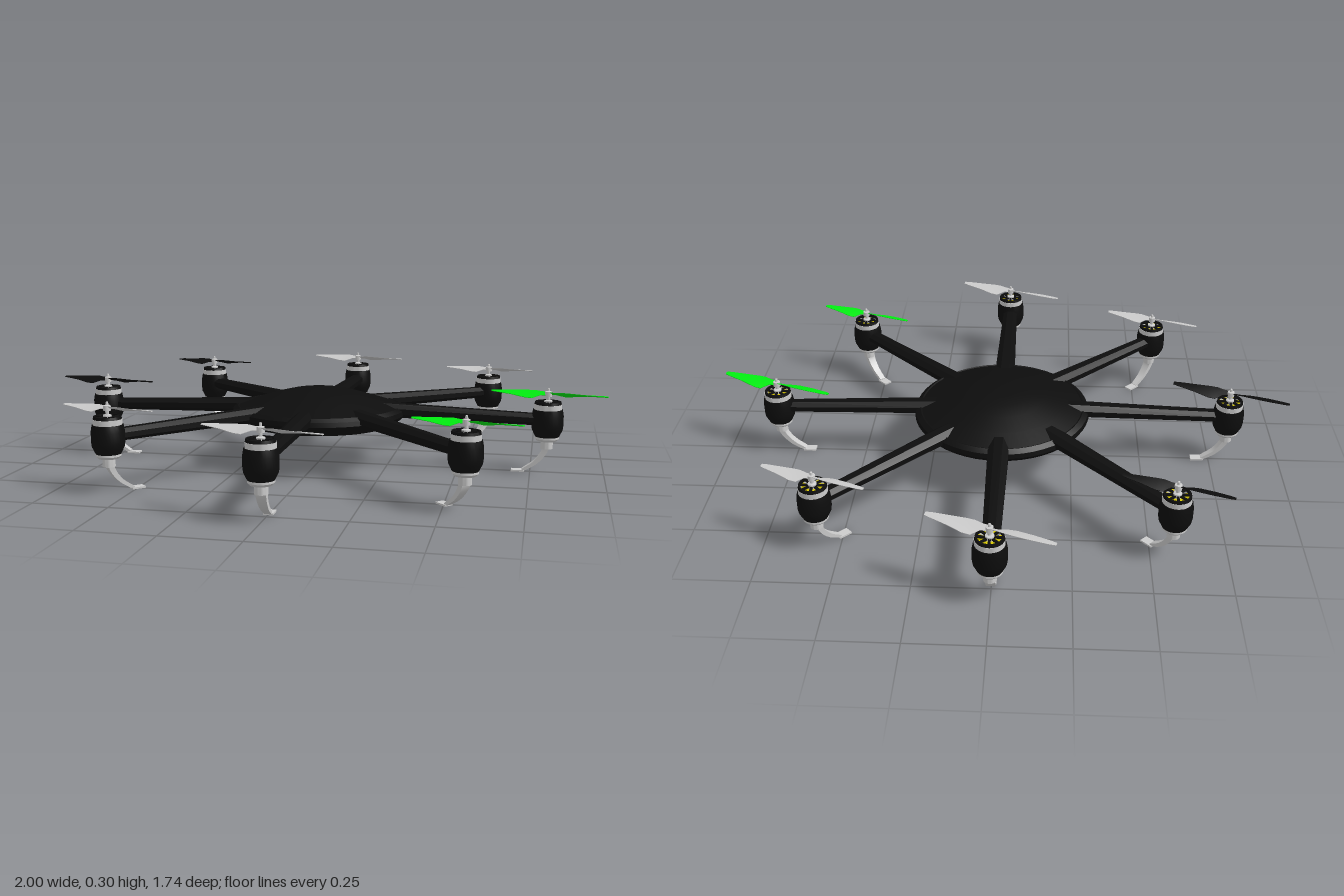
import * as THREE from 'three';
import { toCreasedNormals } from 'three/addons/utils/BufferGeometryUtils.js';

const mat = (color) => new THREE.MeshStandardMaterial({ color });
const grey = mat(0xcccccc), black = mat(0x0d0d0d), green = mat(0x00f010), yellow = mat(0xd8c800);

function add(parent, name, geometry, material, x = 0, y = 0, z = 0) {
  const mesh = new THREE.Mesh(geometry, material);
  mesh.name = name;
  mesh.position.set(x, y, z);
  parent.add(mesh);
  return mesh;
}

function lathe(profile, segments = 32) {
  const points = profile.map(([r, y]) => new THREE.Vector2(r, y));
  return toCreasedNormals(new THREE.LatheGeometry(points, segments), 0.5);
}

// Skin a row of closed rings (counter-clockwise about the direction of travel) and cap both ends
function loft(rings) {
  const n = rings[0].length, last = (rings.length - 1) * n, index = [];
  for (let i = 0; i < rings.length - 1; i++) {
    for (let j = 0; j < n; j++) {
      const a = i * n + j, b = i * n + (j + 1) % n;
      index.push(a, b, b + n, a, b + n, a + n);
    }
  }
  for (let j = 1; j < n - 1; j++) {
    index.push(0, j + 1, j, last, last + j, last + j + 1);
  }
  const g = new THREE.BufferGeometry();
  g.setAttribute('position', new THREE.Float32BufferAttribute(rings.flat(2), 3));
  g.setIndex(index);
  return toCreasedNormals(g, 0.5);
}

// Tapered arm with an eight-sided section: [x, centre y, half height, half width]
function armGeometry() {
  return loft([[0.2, 0.201, 0.027, 0.04], [0.79, 0.185, 0.021, 0.029]].map(([x, y, h, w]) =>
    Array.from({ length: 8 }, (_, i) => {
      const a = (i + 0.5) * Math.PI / 4;
      return [x, y + h * Math.cos(a), w * Math.sin(a)];
    })));
}

// Curved leg sweeping inwards, thinner towards the foot
function legGeometry() {
  const curve = new THREE.CatmullRomCurve3(
    [[0, 0.1], [-0.006, 0.075], [-0.035, 0.036], [-0.08, 0.005]].map(([x, y]) => new THREE.Vector3(x, y, 0)));
  const side = new THREE.Vector3(0, 0, 1), rings = [];
  for (let i = 0; i <= 10; i++) {
    const t = i / 10, p = curve.getPoint(t);
    const u = side.clone().cross(curve.getTangent(t)).multiplyScalar(0.011 - 0.006 * t);
    const w = 0.018 - 0.007 * t;
    rings.push([[1, 1], [-1, 1], [-1, -1], [1, -1]].map(([s, k]) => [p.x + s * u.x, p.y + s * u.y, k * w]));
  }
  return loft(rings);
}

// Twisted blade along +x: [x, rear edge z, front edge z, twist]
function bladeGeometry() {
  const sections = [
    [0.004, -0.009, 0.009, 0.45], [0.025, -0.01, 0.01, 0.45], [0.05, -0.031, 0.015, 0.42],
    [0.075, -0.032, 0.016, 0.36], [0.13, -0.021, 0.014, 0.24], [0.185, -0.011, 0.011, 0.15],
    [0.204, -0.006, 0.008, 0.12],
  ];
  return loft(sections.map(([x, z0, z1, twist]) => {
    const mid = (z0 + z1) / 2, lift = Math.tan(twist), t = 0.0025;
    return [[0.0008, z0], [-0.0008, z0], [-t, mid], [-0.0008, z1], [0.0008, z1], [t, mid]]
      .reverse().map(([y, z]) => [x, y + z * lift, z]);
  }));
}

const parts = {
  arm: armGeometry(),
  leg: legGeometry(),
  blade: bladeGeometry(),
  foot: new THREE.BoxGeometry(0.045, 0.006, 0.03),
  housing: lathe([[0, 0.125], [0.04, 0.125], [0.052, 0.15], [0.054, 0.165], [0.054, 0.2], [0.05, 0.222], [0, 0.222]]),
  legSocket: lathe([[0, 0.084], [0.021, 0.084], [0.021, 0.112], [0.034, 0.112], [0.041, 0.12], [0.041, 0.13], [0, 0.13]]),
  motorRing: lathe([[0.04, 0.22], [0.047, 0.22], [0.047, 0.24], [0.04, 0.24], [0.04, 0.22]]),
  bellRim: lathe([[0.038, 0.24], [0.046, 0.24], [0.044, 0.249], [0.038, 0.249], [0.038, 0.24]]),
  spoke: new THREE.BoxGeometry(0.032, 0.005, 0.008),
  coil: new THREE.BoxGeometry(0.024, 0.018, 0.009),
  hub: lathe([[0, 0.235], [0.014, 0.235], [0.014, 0.252], [0.006, 0.255], [0.006, 0.266], [0.012, 0.266],
    [0.012, 0.283], [0.005, 0.285], [0.004, 0.294], [0, 0.296]], 20),
};

// Motor with slotted bell and wound coils
function makeMotor() {
  const motor = new THREE.Group();
  motor.name = 'motor';
  add(motor, 'motorHousing', parts.housing, black);
  add(motor, 'motorRing', parts.motorRing, grey);
  add(motor, 'bellRim', parts.bellRim, black);
  add(motor, 'motorShaft', parts.hub, grey);
  for (let i = 0; i < 8; i++) {
    const a = i * Math.PI / 4, b = a + Math.PI / 8;
    add(motor, 'bellSpoke', parts.spoke, black, 0.027 * Math.cos(a), 0.245, -0.027 * Math.sin(a)).rotation.y = a;
    add(motor, 'coil', parts.coil, yellow, 0.028 * Math.cos(b), 0.231, -0.028 * Math.sin(b)).rotation.y = b;
  }
  return motor;
}

function makePropeller(material) {
  const propeller = new THREE.Group();
  propeller.name = 'propeller';
  for (const turn of [0, Math.PI]) add(propeller, 'blade', parts.blade, material).rotation.y = turn;
  return propeller;
}

export function createModel() {
  const model = new THREE.Group();
  model.name = 'octocopter';

  // Central disc with a domed lid
  add(model, 'body', lathe([[0, 0.147], [0.265, 0.147], [0.3, 0.17], [0.31, 0.184], [0.307, 0.2], [0.29, 0.211],
    [0.285, 0.209], [0.22, 0.23], [0.15, 0.251], [0.1, 0.263], [0.05, 0.268], [0, 0.269]], 48), black);

  // Eight rotor units, starting at the left and going round by the front
  const colors = [green, green, grey, grey, black, black, grey, grey];
  colors.forEach((color, i) => {
    const angle = i * Math.PI / 4;
    const unit = new THREE.Group();
    unit.name = 'rotorUnit';
    unit.rotation.y = -angle;
    add(unit, 'arm', parts.arm, black);
    const end = new THREE.Group();
    end.name = 'armEnd';
    end.position.x = 0.804;
    end.add(makeMotor());
    add(end, 'legSocket', parts.legSocket, grey);
    add(end, 'leg', parts.leg, grey);
    add(end, 'foot', parts.foot, grey, -0.096, 0.003, 0);
    unit.add(end);
    model.add(unit);

    // Propellers all point the same way; the diagonal ones are a little smaller
    const propeller = makePropeller(color);
    propeller.position.set(0.804 * Math.cos(angle), 0.276, 0.804 * Math.sin(angle));
    propeller.rotation.set(0, -0.29, 0.02);
    propeller.scale.setScalar(i % 2 ? 0.87 : 1);
    model.add(propeller);
  });
  return model;
}
